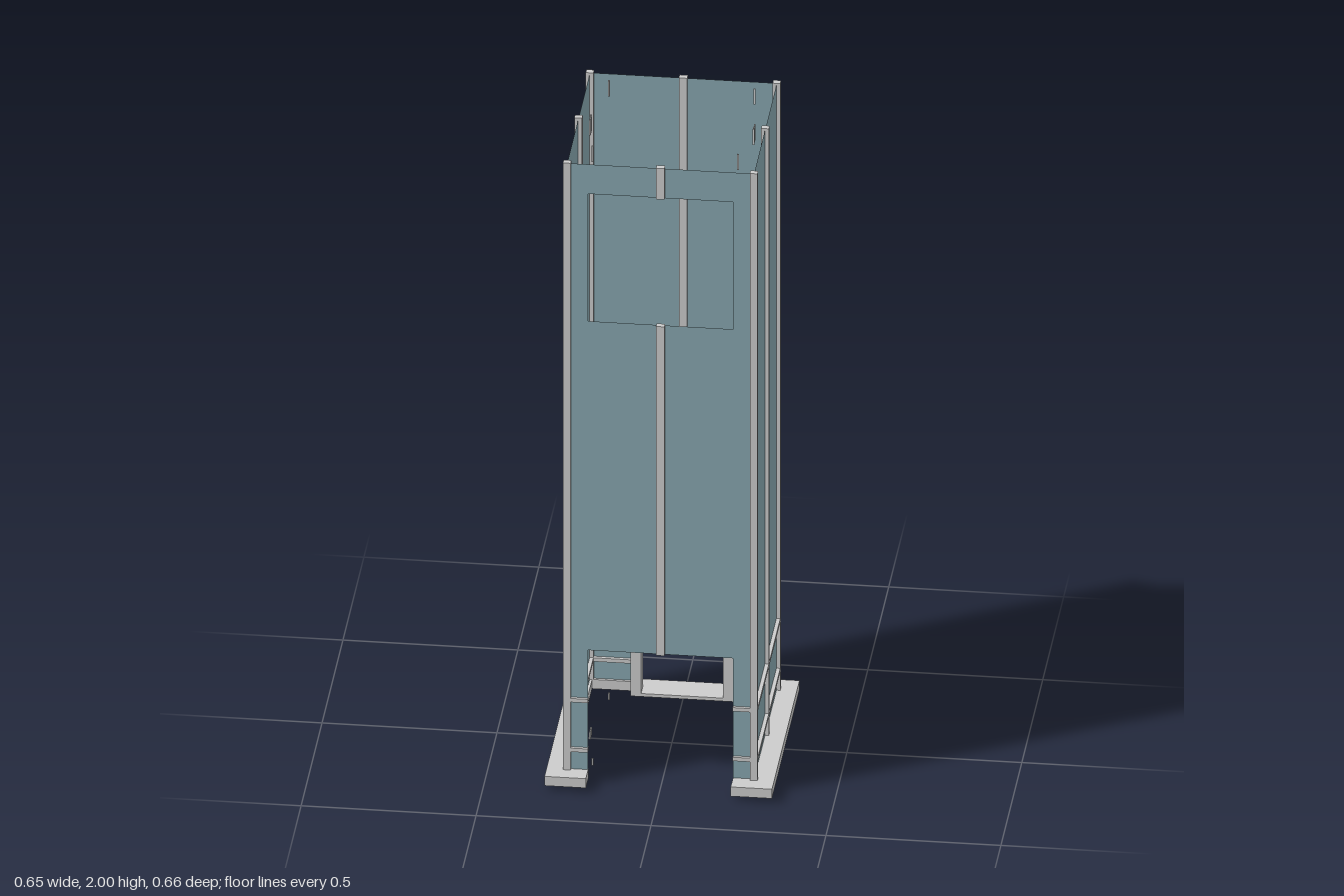
import * as THREE from 'three';

const grey = new THREE.MeshStandardMaterial({ color: 0xcccccc });
const glass = new THREE.MeshStandardMaterial({ color: 0x86a5ae, side: THREE.DoubleSide });

// Box given by its extents on each axis
function block(parent, name, [x0, x1], [y0, y1], [z0, z1]) {
  const mesh = new THREE.Mesh(new THREE.BoxGeometry(x1 - x0, y1 - y0, z1 - z0), grey);
  mesh.position.set((x0 + x1) / 2, (y0 + y1) / 2, (z0 + z1) / 2);
  mesh.name = name;
  parent.add(mesh);
  return mesh;
}

// Thin pane in the xy plane, from outline points
function pane(parent, name, points, hole) {
  const shape = new THREE.Shape(points.map(p => new THREE.Vector2(...p)));
  if (hole) shape.holes.push(new THREE.Path(hole.map(p => new THREE.Vector2(...p))));
  const mesh = new THREE.Mesh(new THREE.ShapeGeometry(shape), glass);
  mesh.name = name;
  parent.add(mesh);
  return mesh;
}

// Wall outline with a doorway cut from its lower edge
const doorwayOutline = (w, bottom, top, doorW, doorTop) => [
  [-w, bottom], [-doorW, bottom], [-doorW, doorTop], [doorW, doorTop],
  [doorW, bottom], [w, bottom], [w, top], [-w, top],
];

export function createModel() {
  const model = new THREE.Group();
  model.name = 'elevatorShaft';

  const IN = 0.256, OUT = 0.278;            // side frame, across x
  const FRONT = [0.262, 0.28], BACK = [-0.284, -0.265];
  const GAP = 0.207, LOW = 0.02, TOP = 2;
  const span = (s, a, b) => (s > 0 ? [a, b] : [-b, -a]);

  // Glass walls
  const walls = new THREE.Group();
  walls.name = 'glassWalls';
  model.add(walls);
  pane(walls, 'frontGlass', doorwayOutline(0.267, LOW, 1.995, GAP, 0.43),
    [[-GAP, 1.49], [-GAP, 1.9], [GAP, 1.9], [GAP, 1.49]]).position.z = 0.271;
  pane(walls, 'backGlass', doorwayOutline(0.267, LOW, 1.995, 0.13, 0.24)).position.z = -0.275;
  for (const s of [-1, 1]) {
    const side = pane(walls, s > 0 ? 'leftGlass' : 'rightGlass',
      [[-0.273, LOW], [0.273, LOW], [0.273, 1.995], [-0.273, 1.995]]);
    side.rotation.y = s * Math.PI / 2;
    side.position.set(s * 0.267, 0, -0.002);
  }

  // Vertical posts
  const posts = new THREE.Group();
  posts.name = 'posts';
  model.add(posts);
  for (const s of [-1, 1]) {
    const x = span(s, IN, OUT);
    block(posts, 'frontCornerPost', x, [LOW, TOP], FRONT);
    block(posts, 'backCornerPost', x, [LOW, TOP], BACK);
    block(posts, 'sideMiddlePost', x, [LOW, TOP], [-0.01, 0.008]);
  }
  block(posts, 'backMiddlePost', [-0.012, 0.012], [0.25, TOP], BACK);
  block(posts, 'frontMiddlePost', [-0.012, 0.012], [0.43, 1.49], FRONT);
  block(posts, 'frontTopPost', [-0.012, 0.012], [1.9, TOP], FRONT);

  // Horizontal rails near the bottom
  const rails = new THREE.Group();
  rails.name = 'rails';
  model.add(rails);
  for (const y of [0.11, 0.27]) {
    const h = [y - 0.006, y + 0.006];
    for (const s of [-1, 1]) {
      block(rails, 'sideRail', span(s, IN, OUT), h, [-0.265, 0.262]);
      block(rails, 'frontRail', span(s, GAP, IN), h, FRONT);
      block(rails, 'backRail', span(s, y > 0.2 ? 0 : 0.14, IN), h, BACK);
    }
  }

  // Base curb, open at the front and at the back doorway
  const base = new THREE.Group();
  base.name = 'baseCurb';
  model.add(base);
  const curbY = [0.015, 0.045];
  for (const s of [-1, 1]) {
    block(base, 'sideCurb', span(s, 0.26, 0.325), curbY, [-0.33, 0.326]);
    block(base, 'frontCurb', span(s, GAP, 0.26), curbY, [0.264, 0.326]);
    block(base, 'backCurb', span(s, 0.148, 0.26), curbY, [-0.33, -0.267]);
  }

  // Door frame and sill at the back
  const door = new THREE.Group();
  door.name = 'doorFrame';
  model.add(door);
  const depth = [-0.287, -0.242];
  for (const s of [-1, 1]) block(door, 'doorJamb', span(s, 0.117, 0.148), [0.02, 0.228], depth);
  block(door, 'doorLintel', [-0.148, 0.148], [0.228, 0.266], depth);
  block(door, 'doorSill', [-0.148, 0.148], [0.012, 0.022], [-0.33, -0.242]);

  // Small guide pins at the foot and the head of the shaft
  const pins = new THREE.Group();
  pins.name = 'guidePins';
  model.add(pins);
  const spots = [[0.208, -0.235], [0.208, 0.16], [0.234, -0.023], [0.234, -0.009], [0.234, 0.005]];
  for (const s of [-1, 1]) {
    for (const [x, z] of spots) {
      for (const y of [[0, 0.022], [1.945, 1.995]]) {
        block(pins, 'guidePin', span(s, x - 0.0025, x + 0.0025), y, [z - 0.0025, z + 0.0025]);
      }
    }
  }
  return model;
}
